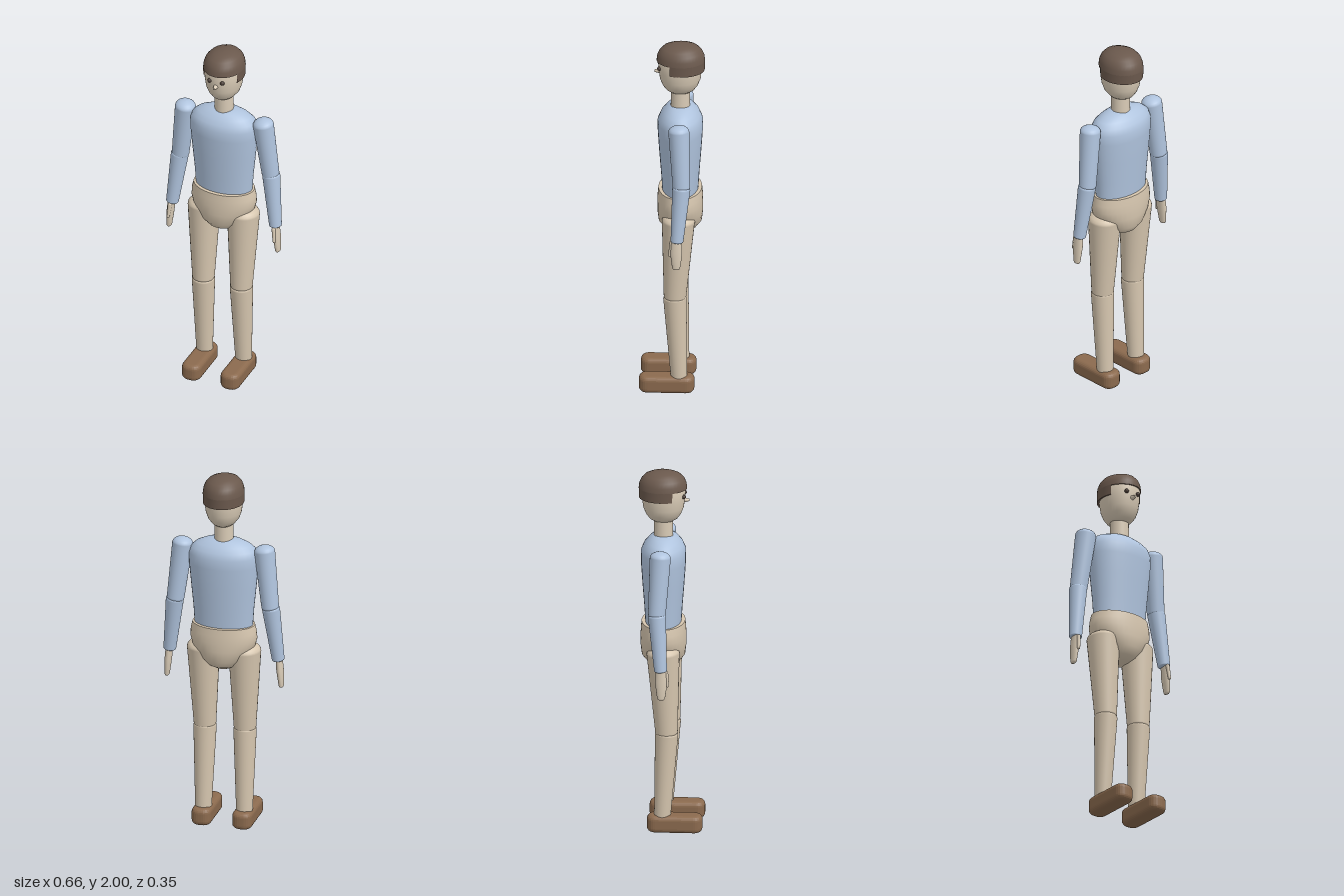
import * as THREE from 'three';

const mat = (name, color, side = THREE.FrontSide) => {
  const m = new THREE.MeshStandardMaterial({ color, side });
  m.name = name;
  return m;
};

// Elliptical sections [y, rx, rz, centre z], bottom to top; a repeated section makes a crease
function loft(sections, start = 0, arc = Math.PI * 2, n = 36) {
  const closed = arc > 6.28, cols = closed ? n : n + 1;
  const pos = [], index = [];
  for (const [y, rx, rz, cz = 0] of sections)
    for (let i = 0; i < cols; i++) {
      const t = start + (arc * i) / n;
      pos.push(rx * Math.sin(t), y, rz * Math.cos(t) + cz);
    }
  for (let j = 0; j < sections.length - 1; j++)
    for (let i = 0; i < n; i++) {
      const k = (i + 1) % cols;
      const a = j * cols + i, b = j * cols + k, c = b + cols, d = a + cols;
      index.push(a, b, c, a, c, d);
    }
  const g = new THREE.BufferGeometry();
  g.setAttribute('position', new THREE.Float32BufferAttribute(pos, 3));
  g.setIndex(index);
  g.computeVertexNormals();
  return g;
}

// Tapered round limb from bottom point to top point, with domed ends of given heights
function limb(bottom, top, rb, rt, domeB, domeT) {
  const a = new THREE.Vector3(...bottom), b = new THREE.Vector3(...top);
  const dir = b.clone().sub(a), len = dir.length(), s = [];
  for (let i = 0; i <= 6; i++) {
    const t = (i / 6) * Math.PI / 2, r = rb * Math.sin(t);
    s.push([domeB * (1 - Math.cos(t)), r, r]);
  }
  for (let i = 0; i <= 6; i++) {
    const t = (i / 6) * Math.PI / 2, r = rt * Math.cos(t);
    s.push([len - domeT * (1 - Math.sin(t)), r, r]);
  }
  const g = loft(s, 0, Math.PI * 2, 28);
  g.applyQuaternion(new THREE.Quaternion().setFromUnitVectors(new THREE.Vector3(0, 1, 0), dir.normalize()));
  return g.translate(a.x, a.y, a.z);
}

// Box with rounded corners in plan and softened top and bottom edges
function shoeGeometry(w, h, l, r, bevel) {
  const x = w / 2 - bevel, z = l / 2 - bevel, q = r - bevel * 0.5;
  const s = new THREE.Shape();
  s.moveTo(-x + q, -z);
  s.lineTo(x - q, -z); s.quadraticCurveTo(x, -z, x, -z + q);
  s.lineTo(x, z - q); s.quadraticCurveTo(x, z, x - q, z);
  s.lineTo(-x + q, z); s.quadraticCurveTo(-x, z, -x, z - q);
  s.lineTo(-x, -z + q); s.quadraticCurveTo(-x, -z, -x + q, -z);
  const g = new THREE.ExtrudeGeometry(s, {
    depth: h - 2 * bevel, bevelEnabled: true, bevelSize: bevel,
    bevelThickness: bevel, bevelSegments: 5, curveSegments: 6,
  });
  return g.rotateX(-Math.PI / 2).translate(0, bevel, 0);
}

export function createModel() {
  const model = new THREE.Group();
  model.name = 'standingFigure';
  const skin = mat('skin', 0xd9cbb6);
  const trousers = mat('trousers', 0xd6c6af);
  const shirt = mat('shirt', 0xb0c4de);
  const hair = mat('hair', 0x6b594d, THREE.DoubleSide);
  const shoes = mat('shoes', 0x8b6a4e);
  const dark = mat('eyes', 0x4a3d36);
  const add = (name, geo, material, parent = model) => {
    const m = new THREE.Mesh(geo, material);
    m.name = name;
    parent.add(m);
    return m;
  };
  const Z = -0.04; // body axis

  // Trunk
  add('pelvis', loft([
    [0.905, 0, 0, Z], [0.91, 0.05, 0.05, Z], [0.93, 0.085, 0.085, Z],
    [0.97, 0.125, 0.115, Z], [1.03, 0.168, 0.122, Z], [1.08, 0.182, 0.122, Z],
    [1.12, 0.179, 0.12, Z], [1.16, 0.17, 0.116, Z], [1.16, 0.17, 0.116, Z], [1.162, 0, 0, Z],
  ]), trousers);
  add('torso', loft([
    [1.14, 0, 0, Z], [1.14, 0.158, 0.095, Z], [1.14, 0.158, 0.095, Z],
    [1.25, 0.165, 0.102, Z], [1.38, 0.178, 0.112, Z], [1.5, 0.189, 0.12, Z],
    [1.555, 0.19, 0.12, Z], [1.59, 0.178, 0.105, Z], [1.615, 0.15, 0.084, Z],
    [1.635, 0.105, 0.062, Z], [1.645, 0.06, 0.04, Z], [1.647, 0, 0, Z],
  ]), shirt);
  add('neck', new THREE.CylinderGeometry(0.05, 0.051, 0.15, 32).translate(0, 1.69, Z), skin);

  // Head and face
  add('head', loft([
    [1.722, 0, 0, Z], [1.724, 0.045, 0.053, Z], [1.738, 0.062, 0.075, Z],
    [1.765, 0.083, 0.094, Z], [1.8, 0.095, 0.108, Z], [1.85, 0.102, 0.115, Z],
    [1.91, 0.104, 0.118, Z], [1.955, 0.085, 0.1, Z], [1.98, 0, 0, Z],
  ]), skin);
  add('nose', new THREE.CylinderGeometry(0.006, 0.014, 0.03, 16)
    .rotateX(Math.PI / 2).translate(0, 1.84, 0.083), skin);
  for (const s of [1, -1])
    add(s > 0 ? 'leftEye' : 'rightEye',
      new THREE.SphereGeometry(0.012, 16, 12).translate(s * 0.037, 1.87, 0.07), dark);

  // Hair: a full cap with a lower band around the sides and back
  const HZ = -0.043;
  add('hairCap', loft([
    [1.908, 0.1, 0.112, HZ], [1.908, 0.11, 0.129, HZ], [1.908, 0.11, 0.129, HZ],
    [1.935, 0.107, 0.126, HZ], [1.96, 0.098, 0.115, HZ], [1.98, 0.081, 0.096, HZ],
    [1.993, 0.055, 0.066, HZ], [1.999, 0.03, 0.036, HZ], [2, 0, 0, HZ],
  ]), hair);
  add('hairBand', loft([
    [1.855, 0.099, 0.112, HZ], [1.855, 0.109, 0.127, HZ], [1.855, 0.109, 0.127, HZ],
    [1.91, 0.11, 0.129, HZ],
  ], 1.12, Math.PI * 2 - 2.24), hair);

  // Arms and legs
  for (const s of [1, -1]) {
    const side = s > 0 ? 'left' : 'right';
    const arm = new THREE.Group(), leg = new THREE.Group();
    arm.name = side + 'Arm';
    leg.name = side + 'Leg';
    model.add(arm, leg);

    add(side + 'UpperArm', limb([s * 0.264, 1.255, -0.06], [s * 0.222, 1.626, -0.041], 0.047, 0.056, 0.03, 0.035), shirt, arm);
    add(side + 'Forearm', limb([s * 0.3, 0.968, -0.036], [s * 0.262, 1.3, -0.06], 0.034, 0.048, 0.012, 0.03), shirt, arm);

    const hand = add(side + 'Hand', loft([
      [-0.16, 0, 0], [-0.158, 0.01, 0.016], [-0.15, 0.014, 0.021],
      [-0.11, 0.016, 0.027], [-0.06, 0.019, 0.032], [0.01, 0.018, 0.028],
    ], 0, Math.PI * 2, 20), skin, arm);
    hand.position.set(s * 0.303, 0.978, -0.033);
    hand.rotation.z = s * 0.08;
    add(side + 'Thumb', limb([s * 0.308, 0.89, 0.002], [s * 0.3, 0.98, -0.008], 0.008, 0.011, 0.008, 0.01), skin, arm);

    add(side + 'Thigh', limb([s * 0.11, 0.535, -0.016], [s * 0.114, 1.055, -0.037], 0.06, 0.088, 0.03, 0.045), trousers, leg);
    add(side + 'Shin', limb([s * 0.113, 0.08, -0.039], [s * 0.11, 0.58, -0.015], 0.044, 0.062, 0.01, 0.03), trousers, leg);
    add(side + 'Shoe', shoeGeometry(0.108, 0.095, 0.295, 0.035, 0.026).translate(s * 0.112, 0.004, 0.027), shoes, leg);
  }
  return model;
}
